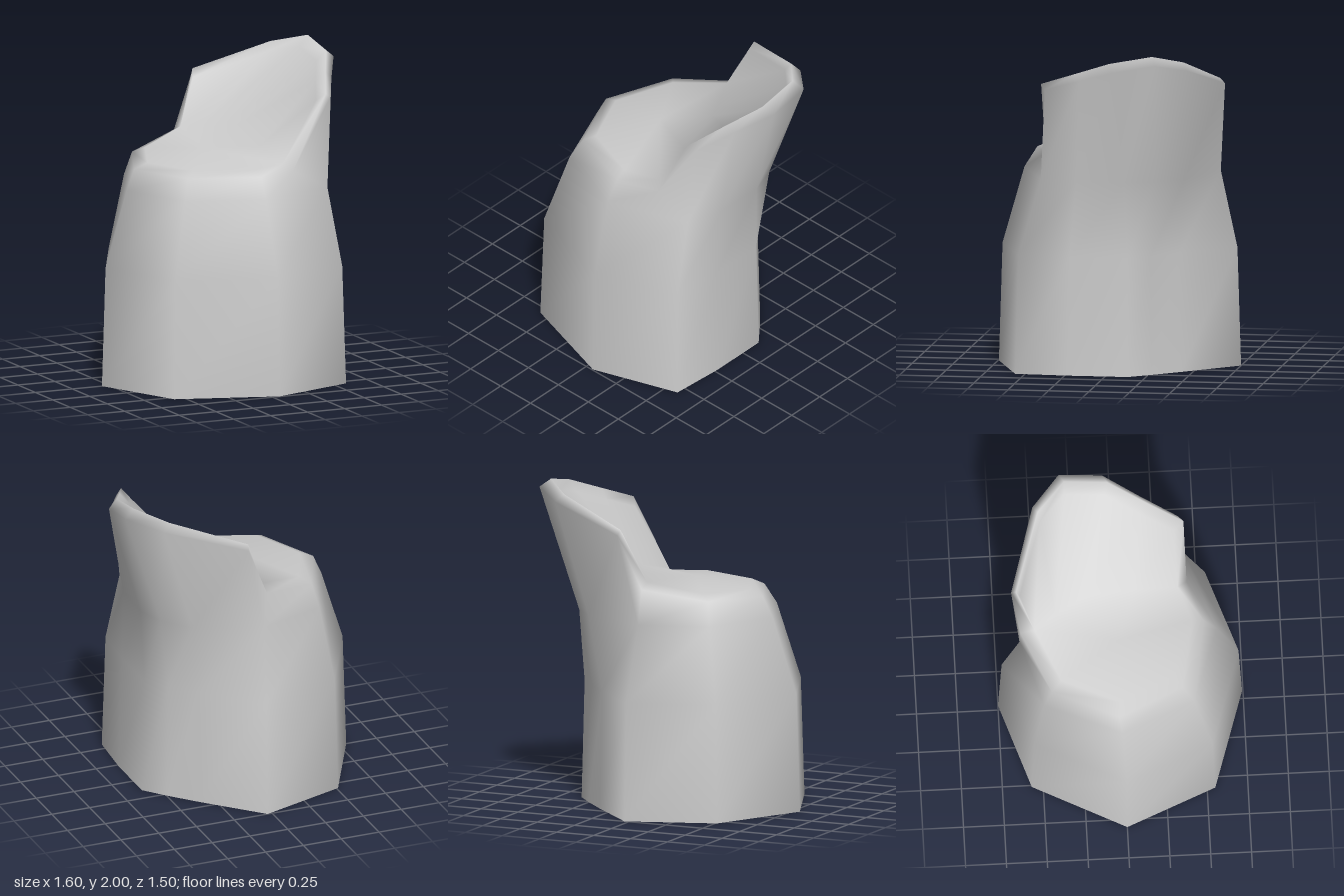
import * as THREE from 'three';
import { mergeVertices } from 'three/addons/utils/BufferGeometryUtils.js';

// Outlines (x, z) from the back left, past the front, to the back;
// the first four points lie under the open seat, the rest under the backrest
const base = [[-0.51, -0.57], [-0.8, 0], [-0.57, 0.55], [0.05, 0.745], [0.585, 0.56],
  [0.61, 0.23], [0.61, -0.14], [0.5, -0.27], [0.35, -0.43], [0.03, -0.75]];
const waist = [[-0.42, -0.49], [-0.625, -0.02], [-0.44, 0.43], [0.03, 0.59], [0.53, 0.41],
  [0.6, 0.18], [0.61, -0.12], [0.55, -0.3], [0.41, -0.46], [0, -0.62]];

// Edge of the seat (x, y, z), in the same order
const seatEdge = [[-0.33, 1.38, -0.38], [-0.48, 1.36, -0.03], [-0.33, 1.36, 0.31], [0.03, 1.36, 0.44],
  [0.25, 1.36, 0.36], [0.22, 1.43, 0.1], [0.17, 1.49, -0.2], [0.13, 1.49, -0.28],
  [0.06, 1.48, -0.4], [-0.02, 1.455, -0.53]];
const seatCentre = [-0.1, 1.42, -0.02];

// Outer rim of the backrest (x, y, z), front to back
const rim = [[0.565, 1.755, 0.38], [0.68, 1.83, 0.15], [0.8, 1.905, -0.075],
  [0.8, 1.95, -0.34], [0.615, 1.9, -0.51], [0.12, 1.755, -0.665]];
const FIRST = 4, LAST = 9;

// Three levels of the trunk below the seat
const trunk = (i) => {
  const [x, z] = base[i];
  return [[x, 0, z], [x * 0.97, 0.73, z * 0.97], [waist[i][0], 1.2, waist[i][1]]];
};

// Open side: a rounded shoulder leads to the seat
const openColumn = (i) => {
  const lip = seatEdge[i];
  const shoulder = [lip[0] * 1.18, lip[1] - 0.035, lip[2] * 1.16];
  return [...trunk(i), shoulder, lip, lip, lip, seatCentre];
};

// Backrest side: up to the rim, over its crest and down the inside to the seat
const backColumn = (i) => {
  const [x, y, z] = rim[i - FIRST];
  const crest = [x * 0.92, y * 1.1 - 0.145, z + 0.03];
  const inner = [x * 0.85, y - 0.02, z * 0.92];
  return [...trunk(i), [x, y, z], crest, inner, seatEdge[i], seatCentre];
};

// Skin the columns with quads, open at the base, leaving out collapsed triangles
function skin(cols) {
  const rows = cols[0].length;
  const index = [];
  const same = (a, b) => a.every((v, k) => v === b[k]);
  const at = (n) => cols[Math.floor(n / rows)][n % rows];
  const tri = (a, b, c) => {
    if (!same(at(a), at(b)) && !same(at(b), at(c)) && !same(at(c), at(a))) index.push(a, b, c);
  };
  for (let i = 0; i < cols.length; i++) {
    const n = (i + 1) % cols.length;
    for (let j = 0; j < rows - 1; j++) {
      const a = i * rows + j, b = n * rows + j;
      tri(a, b, b + 1);
      tri(a, b + 1, a + 1);
    }
  }
  const geometry = new THREE.BufferGeometry();
  geometry.setAttribute('position', new THREE.Float32BufferAttribute(cols.flat(2), 3));
  geometry.setIndex(index);
  const merged = mergeVertices(geometry);
  merged.computeVertexNormals();
  return merged;
}

export function createModel() {
  const group = new THREE.Group();
  group.name = 'stumpSeat';

  // Both ends of the backrest carry an open and a back column, closing its end faces
  const columns = [];
  for (let i = 0; i <= FIRST; i++) columns.push(openColumn(i));
  for (let i = FIRST; i <= LAST; i++) columns.push(backColumn(i));
  columns.push(openColumn(LAST));

  const material = new THREE.MeshStandardMaterial({ color: 0xcccccc, side: THREE.DoubleSide });
  const stump = new THREE.Mesh(skin(columns), material);
  stump.name = 'trunkWithBackrest';
  group.add(stump);
  return group;
}
